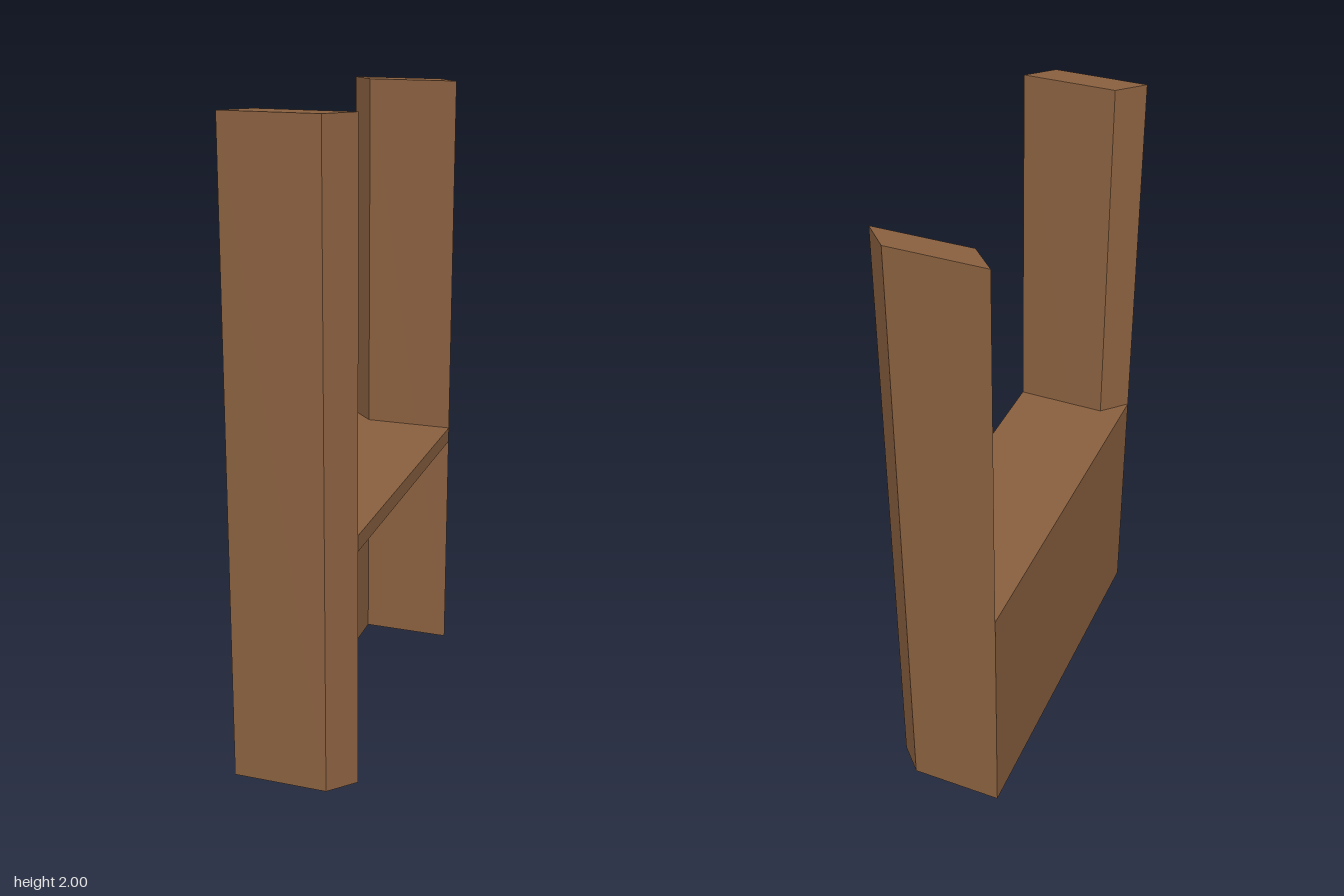
import * as THREE from 'three';

export function createModel() {
  const group = new THREE.Group();
  const wood = new THREE.MeshStandardMaterial({ color: 0x8b6140 });
  wood.name = 'brown wood';

  const back = -0.185, inner = -0.11, frontOuter = 0.11, front = 0.185;
  const outerZ = 0.587, innerZ = 0.51;
  const height = 2, shelfTop = 0.81, shelfBottom = 0.76;

  // Stands a plan outline of [x, z] corners up between two heights
  function prism(name, outline, y0, y1) {
    const shape = new THREE.Shape(outline.map(([x, z]) => new THREE.Vector2(x, -z)));
    const geometry = new THREE.ExtrudeGeometry(shape, { depth: y1 - y0, bevelEnabled: false });
    geometry.rotateX(-Math.PI / 2).translate(0, y0, 0);
    const mesh = new THREE.Mesh(geometry, wood);
    mesh.name = name;
    group.add(mesh);
  }

  // Tall side boards with mitred edges
  for (const [name, s] of [['frontSideBoard', 1], ['rearSideBoard', -1]]) {
    prism(name, [
      [back, s * outerZ], [frontOuter, s * outerZ],
      [front, s * innerZ], [inner, s * innerZ],
    ], 0, height);
  }

  // Panel closing the back, mitred into the side boards
  prism('backPanel', [
    [back, -outerZ], [inner, -innerZ], [inner, innerZ], [back, outerZ],
  ], 0, shelfBottom);

  // Shelf resting on the panel between the boards
  prism('shelf', [
    [back, -outerZ], [inner, -innerZ], [front, -innerZ],
    [front, innerZ], [inner, innerZ], [back, outerZ],
  ], shelfBottom, shelfTop);

  return group;
}
